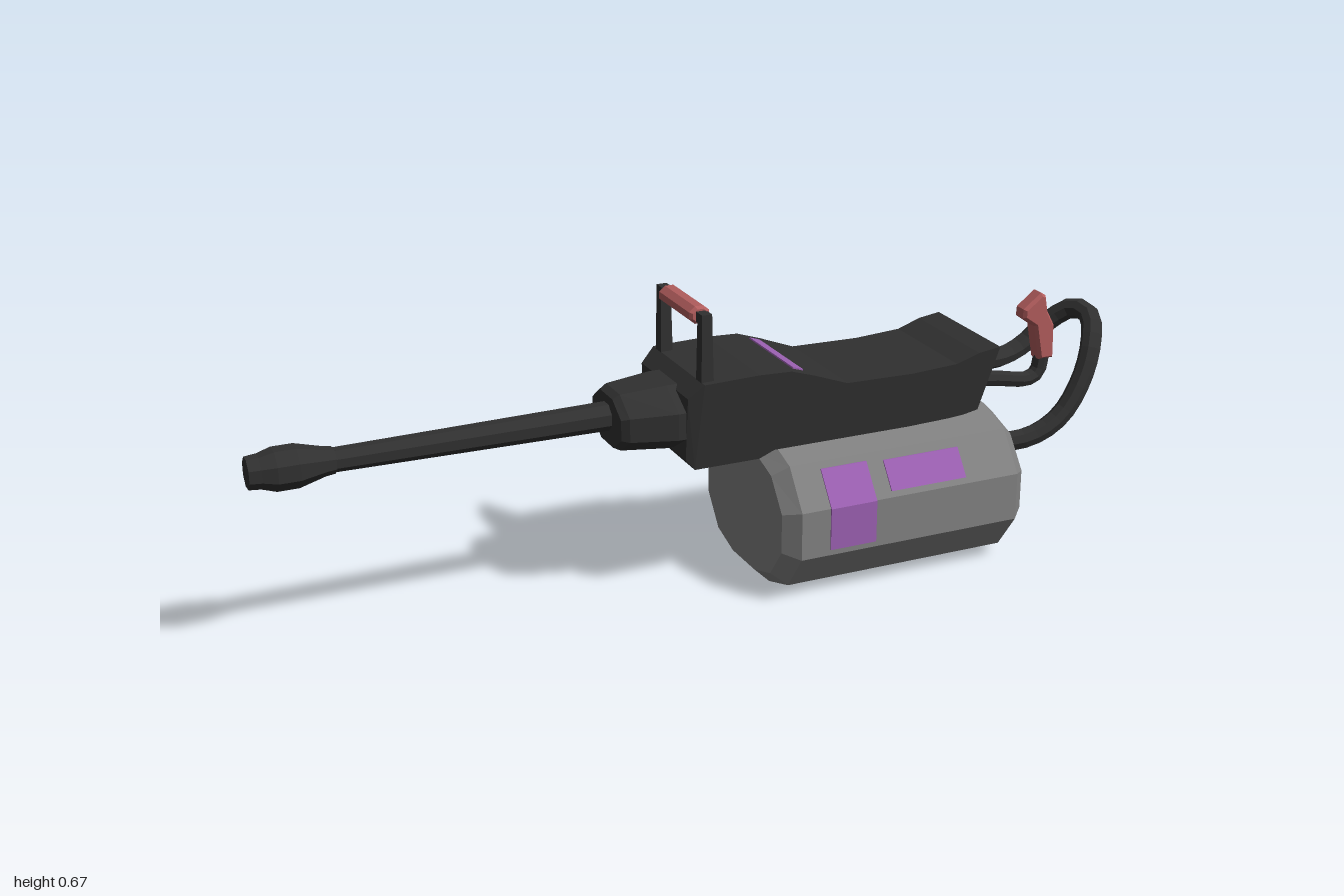
import * as THREE from 'three';

const mat = (color) => new THREE.MeshStandardMaterial({ color, flatShading: true });
const dark = mat(0x303030), grey = mat(0x808080), red = mat(0xb05c5c), purple = mat(0x9a5fb0);

// Skin a list of equal-length rings of [x, y, z] points (x increasing, each ring turning from +y to +z)
function loft(rings) {
  const pos = [];
  const tri = (a, b, c) => pos.push(...a, ...b, ...c);
  const n = rings[0].length;
  for (let i = 0; i + 1 < rings.length; i++) {
    const A = rings[i], B = rings[i + 1];
    for (let j = 0; j < n; j++) {
      const k = (j + 1) % n;
      tri(A[j], A[k], B[k]);
      tri(A[j], B[k], B[j]);
    }
  }
  const first = rings[0], last = rings[rings.length - 1];
  for (let j = 1; j + 1 < n; j++) {
    tri(first[0], first[j + 1], first[j]);
    tri(last[0], last[j], last[j + 1]);
  }
  const g = new THREE.BufferGeometry();
  g.setAttribute('position', new THREE.Float32BufferAttribute(pos, 3));
  g.computeVertexNormals();
  return g;
}

// Eight-sided ring with flat top, spanning y0..y1 and -hz..hz
function octagon(x, y0, y1, hz) {
  const ring = [];
  for (let i = 0; i < 8; i++) {
    const a = (i - 0.5) * Math.PI / 4, k = 1 / Math.cos(Math.PI / 8);
    ring.push([x, (y0 + y1) / 2 + Math.cos(a) * k * (y1 - y0) / 2, Math.sin(a) * k * hz]);
  }
  return ring;
}

export function createModel() {
  const model = new THREE.Group();
  const add = (name, geometry, material, parent = model) => {
    const m = new THREE.Mesh(geometry, material);
    m.name = name;
    parent.add(m);
    return m;
  };
  const tube = (name, points, radius, segments) => add(name, new THREE.TubeGeometry(
    new THREE.CatmullRomCurve3(points.map((p) => new THREE.Vector3(...p))), segments, radius, 8), dark);

  // Tank: twelve-sided drum with chamfered ends
  const quarter = [[0.065, 0.169], [0.157, 0.139], [0.22, 0.054]];
  const half = [...quarter, ...quarter.map(([z, y]) => [z, -y]).reverse()];
  const outline = [...half, ...half.map(([z, y]) => [-z, -y])];
  const tankRing = (x, s, t) => outline.map(([z, y]) => [x, 0.171 + y * t, z * s]);
  add('tank', loft([tankRing(0.08, 0.85, 0.82), tankRing(0.112, 1, 1),
    tankRing(0.643, 1, 1), tankRing(0.675, 0.85, 0.82)]), grey);

  // Gauge windows lying on the tank facets
  const facetZ = (y) => 0.22 - Math.max(0, y - 0.225) * 0.741;
  const windowPanel = (name, x0, x1, ys) => add(name, loft([x0, x1].map((x) => [
    ...ys.map((y) => [x, y, facetZ(y) + 0.003]),
    ...[...ys].reverse().map((y) => [x, y, facetZ(y) - 0.01]),
  ])), purple);
  windowPanel('tallWindow', 0.18, 0.29, [0.297, 0.225, 0.13]);
  windowPanel('wideWindow', 0.33, 0.515, [0.293, 0.237]);

  // Body: sections [top x, top y, bottom x, bottom y, width scale], wider towards the top
  const bodyRing = ([xt, yt, xb, yb, s = 1]) => {
    const t = (0.117 + (yt - 0.33) * 0.097) * s, b = (0.117 + (yb - 0.33) * 0.097) * s;
    return [[xt, yt, -t], [xt, yt, t], [xb, yb, b], [xb, yb, -b]];
  };
  add('body', loft([
    [-0.108, 0.485, -0.108, 0.345, 0.93], [-0.075, 0.515, -0.09, 0.322], [0.05, 0.518, 0.06, 0.322],
    [0.125, 0.515, 0.095, 0.337], [0.18, 0.497, 0.2, 0.337], [0.26, 0.467, 0.28, 0.337],
    [0.42, 0.464, 0.42, 0.337], [0.53, 0.47, 0.52, 0.34], [0.585, 0.488, 0.56, 0.343],
    [0.637, 0.495, 0.595, 0.35], [0.627, 0.48, 0.597, 0.365, 0.88], [0.6, 0.46, 0.58, 0.38, 0.75],
  ].map(bodyRing)), dark);

  // Light strip across the sloping top
  const strip = add('topStrip', new THREE.BoxGeometry(0.026, 0.012, 0.212), purple);
  strip.position.set(0.152, 0.503, 0);
  strip.rotation.z = -0.33;

  // Collar, barrel and nozzle
  add('collar', loft([octagon(-0.24, 0.367, 0.475, 0.08), octagon(-0.225, 0.36, 0.485, 0.092),
    octagon(-0.125, 0.352, 0.493, 0.115), octagon(-0.09, 0.352, 0.493, 0.115)]), dark);
  add('barrel', loft([octagon(-0.85, 0.405, 0.45, 0.026), octagon(-0.23, 0.398, 0.456, 0.03)]), dark);
  add('nozzle', loft([
    [-1, 0.397, 0.46, 0.028], [-0.975, 0.395, 0.462, 0.031], [-0.945, 0.386, 0.47, 0.04],
    [-0.9, 0.386, 0.47, 0.04], [-0.845, 0.4, 0.456, 0.03], [-0.825, 0.402, 0.453, 0.027],
  ].map((p) => octagon(...p))), dark);

  // Carry handle: two tapered posts with short arms and a chamfered grip
  const handle = new THREE.Group();
  handle.name = 'carryHandle';
  model.add(handle);
  for (const side of [-1, 1]) {
    const post = new THREE.CylinderGeometry(0.016, 0.02, 0.16, 4).rotateY(Math.PI / 4);
    add('handlePost', post, dark, handle).position.set(-0.062, 0.58, side * 0.106);
    add('handleArm', new THREE.BoxGeometry(0.02, 0.022, 0.04), dark, handle)
      .position.set(-0.062, 0.648, side * 0.097);
  }
  const gripRing = (x, r) => octagon(x, -r * 0.82, r * 0.82, r);
  const grip = add('handleGrip', loft([gripRing(-0.085, 0.017), gripRing(-0.077, 0.023),
    gripRing(0.077, 0.023), gripRing(0.085, 0.017)]), red, handle);
  grip.rotation.y = Math.PI / 2;
  grip.position.set(-0.062, 0.649, 0);

  // Hose looping from the tank to the rear of the body
  tube('hose', [[0.65, 0.217, 0.022], [0.71, 0.218, 0.03], [0.79, 0.229, 0.047], [0.86, 0.27, 0.054],
    [0.915, 0.35, 0.05], [0.95, 0.43, 0.028], [0.973, 0.476, -0.02], [0.96, 0.48, -0.07],
    [0.918, 0.44, -0.108], [0.87, 0.39, -0.123], [0.81, 0.37, -0.116], [0.72, 0.378, -0.09],
    [0.59, 0.405, -0.065]], 0.024, 32);
  add('hoseSocket', new THREE.CylinderGeometry(0.028, 0.028, 0.03, 6).rotateZ(Math.PI / 2), dark)
    .position.set(0.68, 0.217, 0.023);

  // Rear control: bent rod carrying a crooked grip
  tube('rearRod', [[0.58, 0.4, 0.05], [0.68, 0.388, 0.052], [0.765, 0.375, 0.052],
    [0.79, 0.388, 0.052], [0.8, 0.435, 0.052]], 0.018, 14);
  const lever = new THREE.Shape([[0.784, 0.425], [0.818, 0.425], [0.816, 0.5], [0.797, 0.535],
    [0.79, 0.572], [0.78, 0.578], [0.738, 0.546], [0.737, 0.527], [0.768, 0.505]]
    .map(([x, y]) => new THREE.Vector2(x, y)));
  add('rearGrip', new THREE.ExtrudeGeometry(lever, { depth: 0.028, bevelSize: 0.006,
    bevelOffset: -0.004, bevelThickness: 0.008, bevelSegments: 1 }), red).position.z = 0.038;

  return model;
}
